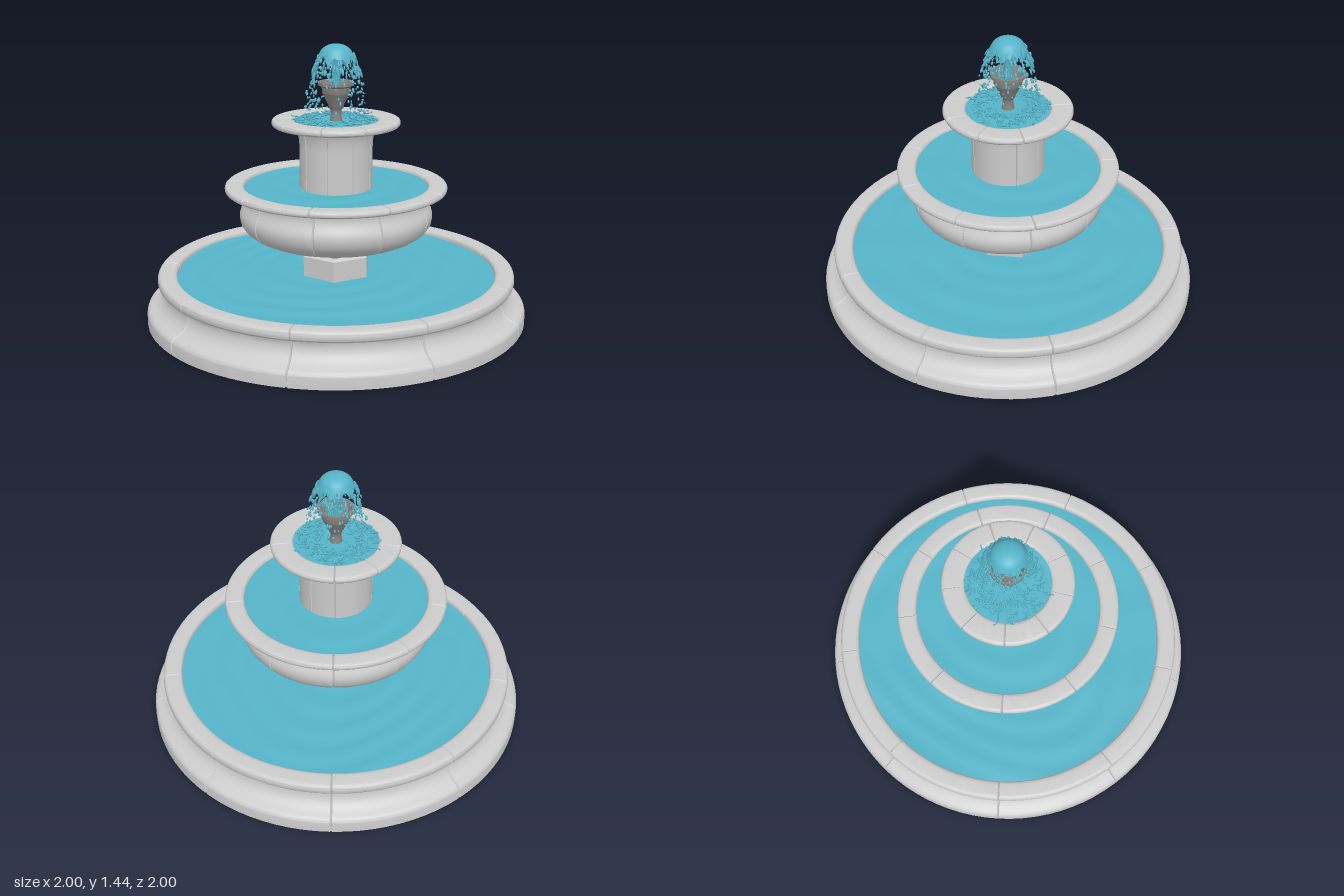
import * as THREE from 'three';
import { mergeGeometries, toCreasedNormals } from 'three/addons/utils/BufferGeometryUtils.js';

const stoneMat = new THREE.MeshStandardMaterial({ color: 0xcccccc });
const nozzleMat = new THREE.MeshStandardMaterial({ color: 0x8a8480, side: THREE.DoubleSide });
const waterMat = new THREE.MeshStandardMaterial({ color: 0x55b4c8, side: THREE.DoubleSide });

const BLOCKS = 9; // stones in each ring
const COLS = 12; // lathe columns per stone

let seed = 7;
const rand = () => (seed = (seed * 16807) % 2147483647) / 2147483647;
const range = (a, b) => a + (b - a) * rand();

function mesh(name, geometry, material) {
  const m = new THREE.Mesh(geometry, material);
  m.name = name;
  return m;
}

// Profile steps: [x, y] line, [cx, cy, x, y] and [c1x, c1y, c2x, c2y, x, y] curves
function profile(start, steps) {
  const path = new THREE.Path();
  path.moveTo(...start);
  for (const s of steps) {
    if (s.length === 2) path.lineTo(...s);
    else if (s.length === 4) path.quadraticCurveTo(...s);
    else path.bezierCurveTo(...s);
  }
  return path.getPoints(7);
}

// Turned stone ring with a V groove between neighbouring blocks
function blockRing(name, points, depth = 0.008) {
  const geo = new THREE.LatheGeometry(points, BLOCKS * COLS);
  const pos = geo.attributes.position, nor = geo.attributes.normal;
  const maxR = Math.max(...points.map(p => p.x));
  const step = (2 * Math.PI) / BLOCKS;
  const half = 0.006 / maxR / step;
  const p = new THREE.Vector3(), n = new THREE.Vector3();
  const up = new THREE.Vector3(0, 1, 0);
  for (let i = 0; i < pos.count; i++) {
    const col = Math.floor(i / points.length);
    const k = col % COLS;
    p.fromBufferAttribute(pos, i);
    if (k === 0) p.addScaledVector(n.fromBufferAttribute(nor, i), -depth);
    else {
      const t = half + ((1 - 2 * half) * (k - 1)) / (COLS - 2);
      p.applyAxisAngle(up, (t - k / COLS) * step);
    }
    p.applyAxisAngle(up, Math.PI);
    pos.setXYZ(i, p.x, p.y, p.z);
  }
  return mesh(name, toCreasedNormals(geo, 0.6), stoneMat);
}

// Gently rippled water surface
function pool(name, inner, outer, y, amp) {
  const geo = new THREE.RingGeometry(inner, outer, 96, 24).rotateX(-Math.PI / 2);
  const pos = geo.attributes.position;
  for (let i = 0; i < pos.count; i++) {
    const x = pos.getX(i), z = pos.getZ(i), r = Math.hypot(x, z);
    const wave = Math.sin(r * 42 + 2 * Math.sin(x * 5) + 2 * Math.cos(z * 4)) + 0.6 * Math.sin(x * 13 - z * 9);
    pos.setY(i, y + amp * wave);
  }
  geo.computeVertexNormals();
  return mesh(name, geo, waterMat);
}

// Radius of the falling water at height y
const fallRadius = y => 0.065 + 0.105 * Math.sqrt(Math.max(0, 1.405 - y) / 0.355);

function drop(y, r, width, height) {
  const a = rand() * Math.PI * 2;
  return new THREE.IcosahedronGeometry(1, 1)
    .scale(width, height, width)
    .rotateZ(range(0.1, 0.5))
    .rotateY(-a)
    .translate(r * Math.cos(a), y, r * Math.sin(a));
}

export function createModel() {
  const g = new THREE.Group();
  g.name = 'fountain';

  // Ground basin
  g.add(blockRing('groundBasin', profile([0, 0], [
    [1, 0], [1, 0.05], [1, 0.075, 0.97, 0.085],
    [0.93, 0.1, 0.9, 0.13, 0.902, 0.185],
    [0.905, 0.2, 0.925, 0.2], [0.94, 0.2, 0.94, 0.225], [0.94, 0.255, 0.915, 0.255],
    [0.865, 0.255], [0.838, 0.255, 0.838, 0.23], [0.838, 0.08], [0, 0.08],
  ])));
  g.add(pool('groundWater', 0.1, 0.84, 0.228, 0.003));

  // Hexagonal pedestal, corners on the x axis
  const hex = [[0.19, 0.08], [0.19, 0.335], [0.162, 0.348], [0.19, 0.365], [0.19, 0.42]]
    .map(p => new THREE.Vector2(...p));
  const hexGeo = new THREE.LatheGeometry(hex, 6, Math.PI / 2);
  g.add(mesh('pedestal', toCreasedNormals(hexGeo, 0.3), stoneMat));

  // Middle bowl
  g.add(blockRing('middleBowl', profile([0, 0.392], [
    [0.19, 0.392], [0.4, 0.41, 0.505, 0.46, 0.505, 0.545],
    [0.505, 0.59, 0.475, 0.6, 0.475, 0.65],
    [0.475, 0.68, 0.56, 0.68], [0.58, 0.68, 0.58, 0.695], [0.58, 0.715, 0.56, 0.715],
    [0.505, 0.715], [0.48, 0.715, 0.48, 0.695], [0.475, 0.6], [0.4, 0.5], [0, 0.48],
  ])));
  g.add(pool('middleWater', 0.1, 0.481, 0.695, 0.002));

  // Upper column flaring into the top bowl
  g.add(blockRing('topColumn', profile([0, 0.5], [
    [0.19, 0.5], [0.19, 0.9], [0.19, 0.97, 0.205, 1.0],
    [0.215, 1.02, 0.25, 1.02], [0.315, 1.02],
    [0.333, 1.02, 0.333, 1.037], [0.333, 1.056, 0.31, 1.056],
    [0.24, 1.056], [0.215, 1.056, 0.215, 1.035], [0.21, 1.0], [0, 1.0],
  ])));
  g.add(pool('topWater', 0.01, 0.218, 1.046, 0.002));

  // Nozzle cup
  const cup = profile([0.036, 1.03], [
    [0.02, 1.1, 0.035, 1.11], [0.05, 1.15, 0.073, 1.19], [0.075, 1.22], [0.093, 1.23],
    [0.093, 1.247], [0.08, 1.247], [0.06, 1.2], [0, 1.18],
  ]);
  g.add(mesh('nozzle', toCreasedNormals(new THREE.LatheGeometry(cup, 16), 0.5), nozzleMat));

  // Rising jet
  const jet = profile([0.022, 1.18], [[0.02, 1.3, 0.03, 1.36], [0.04, 1.4, 0.06, 1.415]]);
  g.add(mesh('waterJet', new THREE.LatheGeometry(jet, 20), waterMat));

  // Dome of water with a ragged hem
  const domePts = profile([0.098, 1.365], [[0.085, 1.395, 0.075, 1.41], [0.05, 1.44, 0, 1.44]]);
  const domeGeo = new THREE.LatheGeometry(domePts, 48);
  const dp = domeGeo.attributes.position;
  for (let i = 0; i < dp.count; i += domePts.length) {
    const c = i / domePts.length;
    const sag = 0.012 * Math.sin((c * 2 * Math.PI * 11) / 48) + 0.014 * Math.sin((c * 2 * Math.PI * 7) / 48);
    const grow = 1 + sag * 3;
    dp.setXYZ(i, dp.getX(i) * grow, dp.getY(i) - sag, dp.getZ(i) * grow);
  }
  domeGeo.computeVertexNormals();
  g.add(mesh('waterDome', domeGeo, waterMat));

  // Strands tearing off the dome, then falling drops
  const drops = [];
  for (let i = 0; i < 75; i++) {
    const y = range(1.28, 1.385);
    drops.push(drop(y, fallRadius(y) * range(0.92, 1.03), range(0.004, 0.008), range(0.012, 0.026)));
  }
  for (let i = 0; i < 300; i++) {
    const y = range(1.05, 1.36);
    const s = range(0.003, 0.007);
    drops.push(drop(y, fallRadius(y) * range(0.85, 1.04), s, s * range(1, 2.2)));
  }
  g.add(mesh('waterDrops', mergeGeometries(drops), waterMat));

  // Splash: short curled ripples where the drops land
  const curls = [];
  for (let i = 0; i < 190; i++) {
    const a = rand() * Math.PI * 2, r = range(0.1, 0.215);
    const p = new THREE.Vector3(r * Math.cos(a), 1.053, r * Math.sin(a));
    const pts = [p.clone()];
    let dir = rand() * Math.PI * 2;
    for (let k = 0; k < 3; k++) {
      dir += range(-1.2, 1.2);
      p.add(new THREE.Vector3(0.012 * Math.cos(dir), range(-0.003, 0.004), 0.012 * Math.sin(dir)));
      pts.push(p.clone());
    }
    curls.push(new THREE.TubeGeometry(new THREE.CatmullRomCurve3(pts), 7, range(0.003, 0.005), 5));
  }
  g.add(mesh('splash', mergeGeometries(curls), waterMat));

  return g;
}
